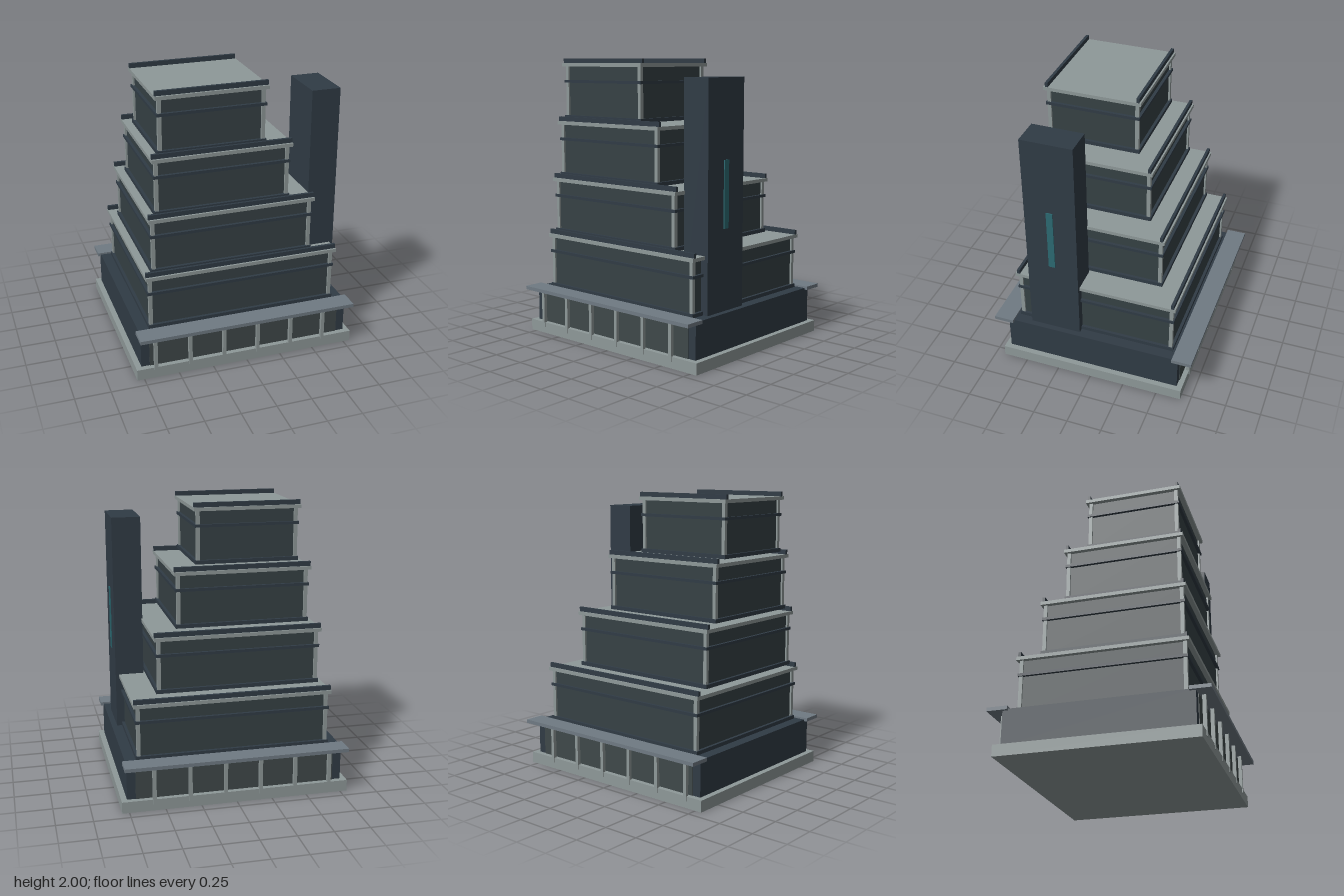
import * as THREE from 'three';

const mat = (color) => new THREE.MeshStandardMaterial({ color });

export function createModel() {
  const model = new THREE.Group();
  const concrete = mat(0x8e9898), canopyGrey = mat(0x6f7a83), dark = mat(0x303b45);
  const glass = mat(0x364144), shopGlass = mat(0x3f4849), teal = mat(0x2c6a72);

  // Box given by its minimum and maximum corners
  function box(name, material, x0, x1, y0, y1, z0, z1, parent = model) {
    const mesh = new THREE.Mesh(new THREE.BoxGeometry(x1 - x0, y1 - y0, z1 - z0), material);
    mesh.position.set((x0 + x1) / 2, (y0 + y1) / 2, (z0 + z1) / 2);
    mesh.name = name;
    parent.add(mesh);
    return mesh;
  }

  // Plinth and podium
  box('plinth', concrete, -0.8, 0.8, 0, 0.08, -0.68, 0.68);
  box('podium', dark, -0.76, 0.76, 0.08, 0.332, -0.64, 0.64);

  // Glazing, canopy and columns on the front and back of the podium
  for (const s of [1, -1]) {
    const side = new THREE.Group();
    side.name = s > 0 ? 'frontArcade' : 'backArcade';
    const span = (a, b) => (s > 0 ? [a, b] : [-b, -a]);
    box('podiumGlazing', shopGlass, -0.7, 0.7, 0.08, 0.318, ...span(0.62, 0.645), side);
    box('canopy', canopyGrey, -0.783, 0.783, 0.32, 0.345, ...span(0.6, 0.743), side);
    for (let i = 0; i < 6; i++) {
      const x = -0.664 + i * 0.248;
      box('podiumColumn', concrete, x - 0.0125, x + 0.0125, 0.045, 0.32, ...span(0.66, 0.685), side);
    }
    model.add(side);
  }

  // Stepped storeys: roof slab extents [x0, x1, z0, z1]
  const tiers = [
    [-0.695, 0.695, -0.592, 0.592],
    [-0.66, 0.523, -0.45, 0.572],
    [-0.622, 0.355, -0.305, 0.552],
    [-0.585, 0.185, -0.162, 0.532],
  ];
  tiers.forEach(([x0, x1, z0, z1], i) => {
    const tier = new THREE.Group();
    tier.name = 'storey' + (i + 1);
    const top = 0.728 + i * 0.4135;
    const base = top - 0.397;
    // Box inset by d from the slab outline
    const ring = (name, material, d, y0, y1) =>
      box(name, material, x0 + d, x1 - d, y0, y1, z0 + d, z1 - d, tier);
    ring('glassWalls', glass, 0.032, base, top - 0.025);
    ring('baseBand', dark, 0.011, base, base + 0.027);
    ring('middleBand', dark, 0.011, top - 0.139, top - 0.119);
    ring('roofSlab', concrete, 0, top - 0.025, top);

    // Corner posts
    for (const x of [x0 + 0.032, x1 - 0.032])
      for (const z of [z0 + 0.032, z1 - 0.032])
        box('cornerPost', concrete, x - 0.013, x + 0.013, base, top - 0.025, z - 0.013, z + 0.013, tier);

    // Parapets along the front and back edges
    box('frontParapet', dark, x0 + 0.002, x1 - 0.002, top, top + 0.032, z1 - 0.034, z1 - 0.014, tier);
    box('backParapet', dark, x0 + 0.002, x1 - 0.002, top, top + 0.032, z0 + 0.012, z0 + 0.032, tier);
    model.add(tier);
  });

  // Stair tower with a tall narrow window
  box('stairTower', dark, 0.515, 0.72, 0.332, 1.88, 0.104, 0.474);
  box('towerWindow', teal, 0.71, 0.727, 0.89, 1.345, 0.266, 0.313);

  return model;
}
